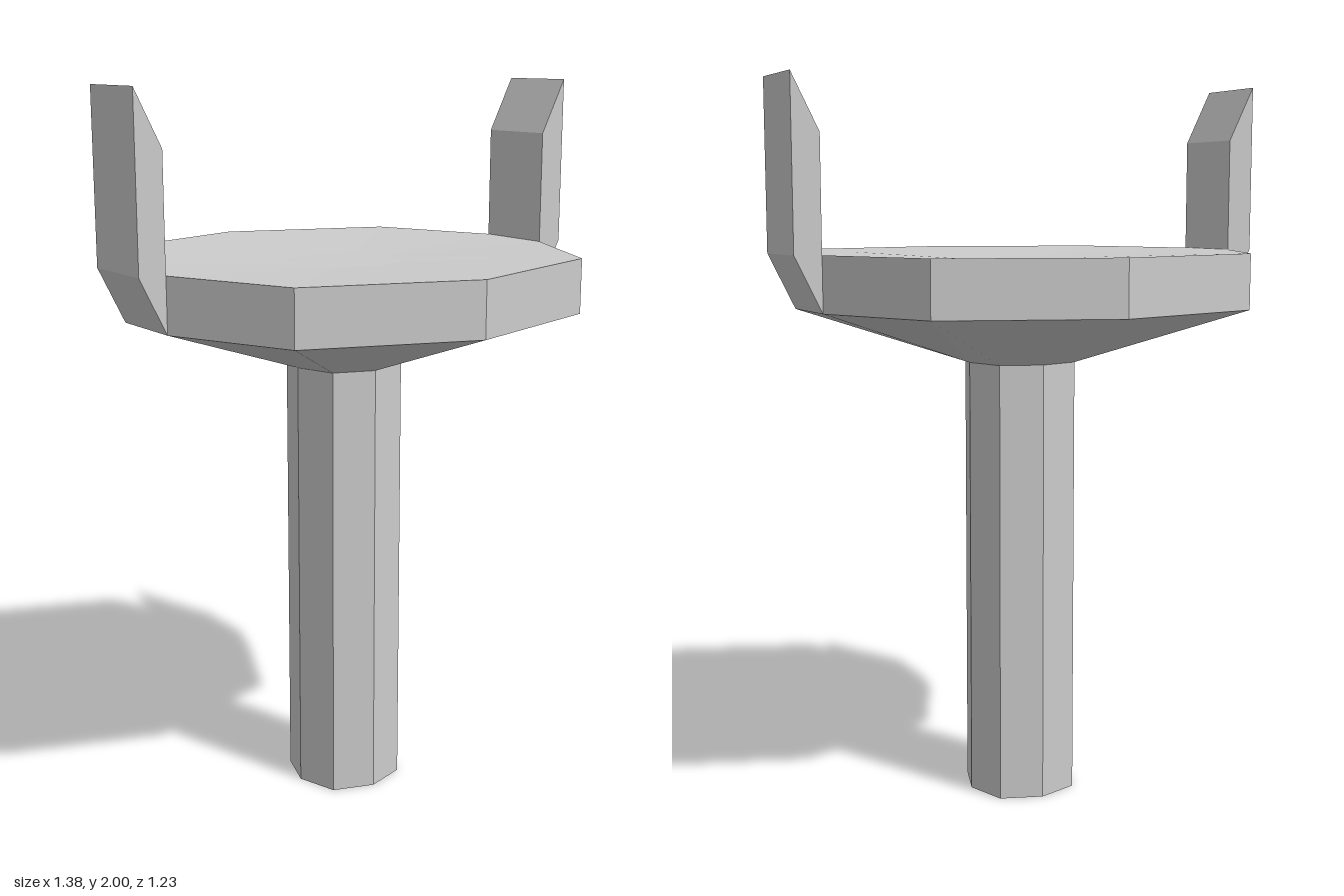
import * as THREE from 'three';

const material = new THREE.MeshStandardMaterial({ color: 0xcccccc, flatShading: true });

// Ten-point ring: round outline with flat left and right sides.
// side = half width of the flat (0 makes it an octagon).
function ring(r, diag, side, y) {
  const quarter = [[0, r], [diag, diag], [r, side]];
  const front = [...quarter, [r, -side], [diag, -diag]];
  const back = front.map(([x, z]) => [-x, -z]);
  return [...front, ...back].map(([x, z]) => new THREE.Vector3(x, y, z));
}

const centre = (y) => ring(0, 0, 0, y);

// Joins successive rings with flat faces, skipping collapsed triangles.
function loft(name, rings) {
  const points = [];
  const tri = (a, b, c) => {
    const area = b.clone().sub(a).cross(c.clone().sub(a)).length();
    if (area > 1e-6) points.push(a, b, c);
  };
  for (let k = 0; k < rings.length - 1; k++) {
    const lo = rings[k], hi = rings[k + 1];
    for (let i = 0; i < lo.length; i++) {
      const j = (i + 1) % lo.length;
      tri(lo[i], lo[j], hi[j]);
      tri(lo[i], hi[j], hi[i]);
    }
  }
  const geometry = new THREE.BufferGeometry().setFromPoints(points);
  geometry.computeVertexNormals();
  const mesh = new THREE.Mesh(geometry, material);
  mesh.name = name;
  return mesh;
}

// Upright tab with slanted ends, standing against one flat side of the plate.
function tab(name, sign) {
  const outline = [[0.615, 1.39], [0.69, 1.54], [0.69, 2], [0.615, 1.85]];
  const shape = new THREE.Shape(outline.map(([x, y]) => new THREE.Vector2(sign * x, y)));
  const geometry = new THREE.ExtrudeGeometry(shape, { depth: 0.23, bevelEnabled: false });
  geometry.translate(0, 0, -0.115);
  const mesh = new THREE.Mesh(geometry, material);
  mesh.name = name;
  return mesh;
}

export function createModel() {
  const group = new THREE.Group();
  group.name = 'pedestal';

  const small = (y) => ring(0.153, 0.115, 0, y);
  const wide = (y) => ring(0.615, 0.46, 0.115, y);

  // Octagonal post with a closed foot
  group.add(loft('post', [centre(0), small(0), small(1.235)]));

  // Flared plate with a very shallow dished top
  group.add(loft('plate', [small(1.235), wide(1.39), wide(1.54), small(1.52), centre(1.52)]));

  group.add(tab('leftTab', 1), tab('rightTab', -1));
  return group;
}
